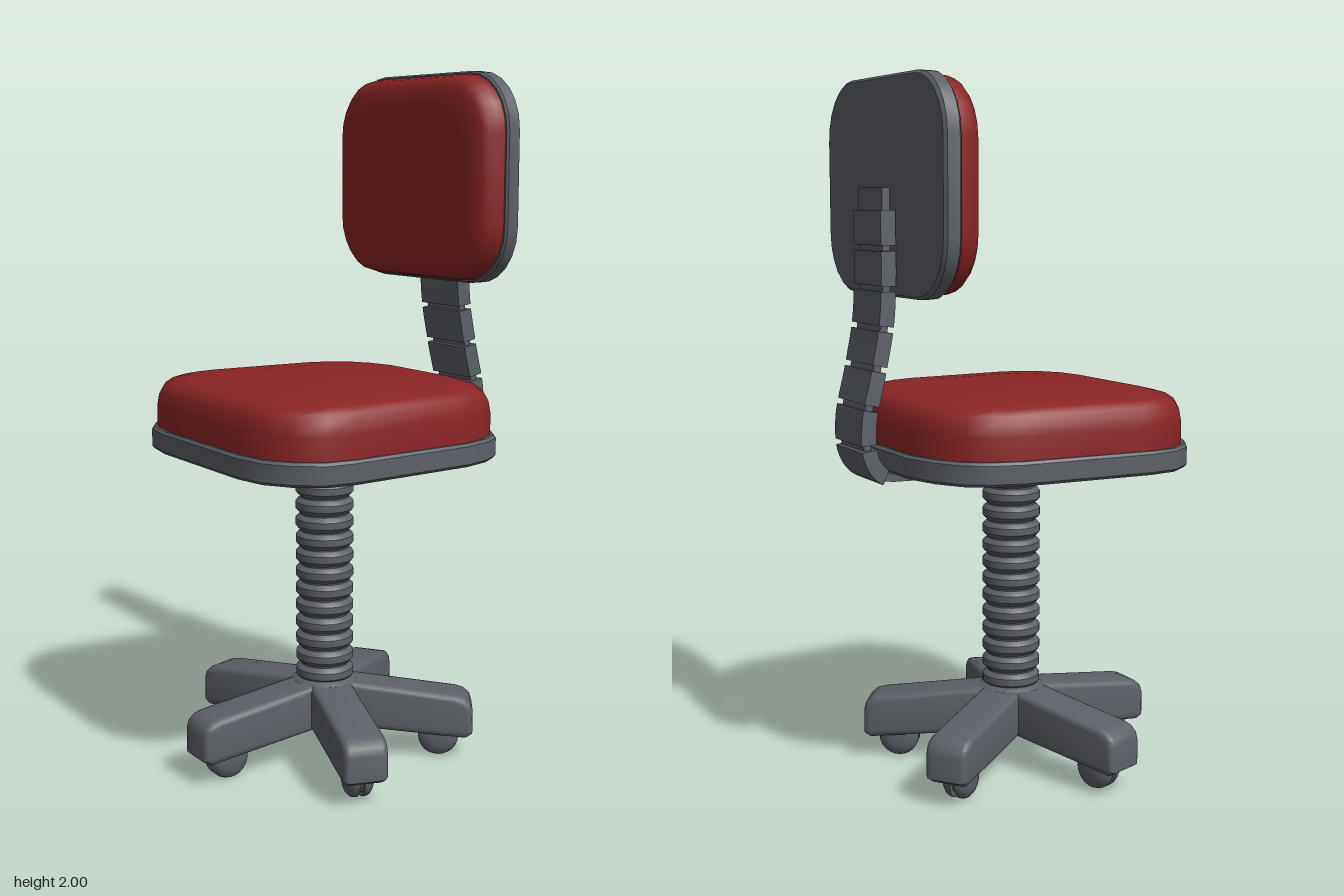
import * as THREE from 'three';
import { toCreasedNormals } from 'three/addons/utils/BufferGeometryUtils.js';

const grey = new THREE.MeshStandardMaterial({ color: 0x5c6067 });
grey.name = 'grey plastic';
const red = new THREE.MeshStandardMaterial({ color: 0x8b2426 });
red.name = 'red fabric';

const CX = -0.04; // axis of the column

function part(name, geometry, material, crease = 0.65) {
  const mesh = new THREE.Mesh(toCreasedNormals(geometry, crease), material);
  mesh.name = name;
  return mesh;
}

// Stacks scaled copies of an outline [x, z]; rings are [height, scale], scale 0 closes an end
function loft(outline, rings, cx = 0) {
  const n = outline.length, pos = [], idx = [];
  for (const [y, s] of rings)
    for (const [x, z] of outline) pos.push(cx + (x - cx) * s, y, z * s);
  for (let j = 0; j < rings.length - 1; j++)
    for (let i = 0; i < n; i++) {
      const a = j * n + i, b = j * n + (i + 1) % n, c = a + n, d = b + n;
      if (rings[j][1] > 0) idx.push(a, c, b);
      if (rings[j + 1][1] > 0) idx.push(b, c, d);
      else if (rings[j][1] > 0) idx.splice(-3, 3, a, c, b);
    }
  const g = new THREE.BufferGeometry();
  g.setAttribute('position', new THREE.Float32BufferAttribute(pos, 3));
  g.setIndex(idx);
  return g;
}

function roundedRect(hx, hz, r, steps = 6) {
  const pts = [];
  [[1, 1], [-1, 1], [-1, -1], [1, -1]].forEach(([sx, sz], k) => {
    for (let i = 0; i <= steps; i++) {
      const a = (k + i / steps) * Math.PI / 2;
      pts.push([sx * (hx - r) + r * Math.cos(a), sz * (hz - r) + r * Math.sin(a)]);
    }
  });
  return pts;
}

// Flat band of given thickness and width following part of a curve in the xy plane
function strip(curve, u0, u1, thick, width, steps) {
  const up = [], down = [];
  for (let i = 0; i <= steps; i++) {
    const u = u0 + (u1 - u0) * i / steps;
    const p = curve.getPointAt(u), t = curve.getTangentAt(u), h = thick / 2;
    up.push(new THREE.Vector2(p.x - t.y * h, p.y + t.x * h));
    down.unshift(new THREE.Vector2(p.x + t.y * h, p.y - t.x * h));
  }
  const g = new THREE.ExtrudeGeometry(new THREE.Shape([...up, ...down]), { depth: width, bevelEnabled: false });
  return g.translate(0, 0, -width / 2);
}

const lathe = (pts, seg) => new THREE.LatheGeometry(pts.map(p => new THREE.Vector2(...p)), seg);

function makeSeat() {
  const seat = new THREE.Group();
  seat.name = 'seat';
  const half = [[0.385, 0.18], [0.355, 0.28], [0.305, 0.36], [0.245, 0.4], [0.16, 0.425],
    [-0.235, 0.448], [-0.32, 0.437], [-0.39, 0.387], [-0.44, 0.31], [-0.458, 0.21]];
  const outline = [...half, ...half.map(([x, z]) => [x, -z]).reverse()];
  seat.add(part('seatRim', loft(outline, [[0.92, 0], [0.92, 0.985], [0.928, 1],
    [0.978, 1], [0.986, 0.985], [0.986, 0]], CX), grey));
  seat.add(part('seatCushion', loft(outline, [[0.98, 0], [0.98, 0.968], [1.05, 0.966], [1.082, 0.955],
    [1.105, 0.93], [1.12, 0.885], [1.129, 0.8], [1.136, 0.55], [1.139, 0.25], [1.14, 0]], CX), red));
  // shallow pyramid under the seat
  const under = new THREE.CylinderGeometry(0.445, 0.11, 0.032, 4).rotateY(Math.PI / 4);
  seat.add(part('seatUnderside', under.translate(CX, 0.906, 0), grey, 0.05));
  return seat;
}

function makeBackrest() {
  const back = new THREE.Group();
  back.name = 'backrest';
  const outline = roundedRect(0.2975, 0.375, 0.165);
  back.add(part('backPlate', loft(outline, [[0, 0], [0, 0.975], [0.008, 1], [0.044, 1],
    [0.05, 0.985], [0.05, 0]]), grey));
  back.add(part('backCushion', loft(outline, [[0.045, 0], [0.045, 0.972], [0.075, 0.968], [0.1, 0.945],
    [0.115, 0.905], [0.124, 0.84], [0.129, 0.7], [0.131, 0.4], [0.132, 0]]), red));
  back.rotation.z = Math.PI / 2; // thickness runs towards -x
  back.position.set(0.366, 1.7025, 0);
  return back;
}

function makeSupport() {
  const support = new THREE.Group();
  support.name = 'backSupport';
  const curve = new THREE.CatmullRomCurve3([[0.28, 0.907], [0.35, 0.907], [0.41, 0.915], [0.448, 0.965],
    [0.455, 1.06], [0.425, 1.2], [0.4, 1.33], [0.392, 1.45], [0.392, 1.58], [0.392, 1.7]]
    .map(([x, y]) => new THREE.Vector3(x, y, 0)));
  support.add(part('supportStrap', strip(curve, 0, 1, 0.022, 0.155, 40), grey));
  // overlapping sleeves along the strap
  const count = 7, start = 0.135, pitch = (0.952 - start) / count;
  for (let i = 0; i < count; i++) {
    const u = start + i * pitch;
    support.add(part('supportSleeve', strip(curve, u, u + pitch * 0.86, 0.044, 0.182, 6), grey));
  }
  return support;
}

function makeColumn() {
  const pts = [[0.072, 0.2]];
  const ribs = 13, y0 = 0.235, pitch = 0.655 / ribs;
  for (let i = 0; i < ribs; i++) {
    const y = y0 + i * pitch;
    pts.push([0.071, y], [0.079, y + 0.006], [0.085, y + 0.013], [0.085, y + 0.033],
      [0.079, y + 0.04], [0.071, y + 0.046]);
  }
  pts.push([0.071, 0.9]);
  const column = part('bellowsColumn', lathe(pts, 28), grey, 0.5);
  column.position.x = CX;
  return column;
}

function makeBase() {
  const base = new THREE.Group();
  base.name = 'base';
  const profile = [[0, 0.105], [0.42, 0.065], [0.44, 0.078], [0.44, 0.15], [0.433, 0.173],
    [0.415, 0.189], [0.39, 0.196], [0, 0.243]].map(p => new THREE.Vector2(...p));
  const bevel = 0.018, width = 0.128;
  const arm = new THREE.ExtrudeGeometry(new THREE.Shape(profile), { depth: width - 2 * bevel,
    bevelSize: bevel, bevelThickness: bevel, bevelOffset: -bevel, bevelSegments: 3 });
  arm.translate(0, 0, bevel - width / 2);
  const disc = [[0, 0.007], [0.06, 0.007], [0.06, 0.016], [0.056, 0.026], [0.046, 0.035], [0.028, 0.04], [0, 0.041]];
  for (let i = 0; i < 5; i++) {
    const leg = new THREE.Group();
    leg.name = 'leg';
    leg.add(part('arm', arm, grey));
    // twin-disc caster
    for (const s of [1, -1]) {
      const wheel = part('casterWheel', lathe(disc, 24).rotateX(s * Math.PI / 2), grey);
      wheel.position.set(0.34, 0.06, 0);
      leg.add(wheel);
    }
    leg.add(part('casterCore', new THREE.CylinderGeometry(0.047, 0.047, 0.02, 20)
      .rotateX(Math.PI / 2).translate(0.34, 0.06, 0), grey));
    leg.add(part('casterStem', new THREE.CylinderGeometry(0.02, 0.02, 0.06, 12).translate(0.34, 0.11, 0), grey));
    leg.rotation.y = Math.PI + i * Math.PI * 2 / 5;
    base.add(leg);
  }
  base.add(part('hub', lathe([[0, 0.105], [0.095, 0.105], [0.1, 0.2], [0.095, 0.232], [0.08, 0.243], [0, 0.243]], 28), grey));
  base.position.x = CX;
  return base;
}

export function createModel() {
  const chair = new THREE.Group();
  chair.name = 'officeChair';
  chair.add(makeSeat(), makeBackrest(), makeSupport(), makeColumn(), makeBase());
  return chair;
}
